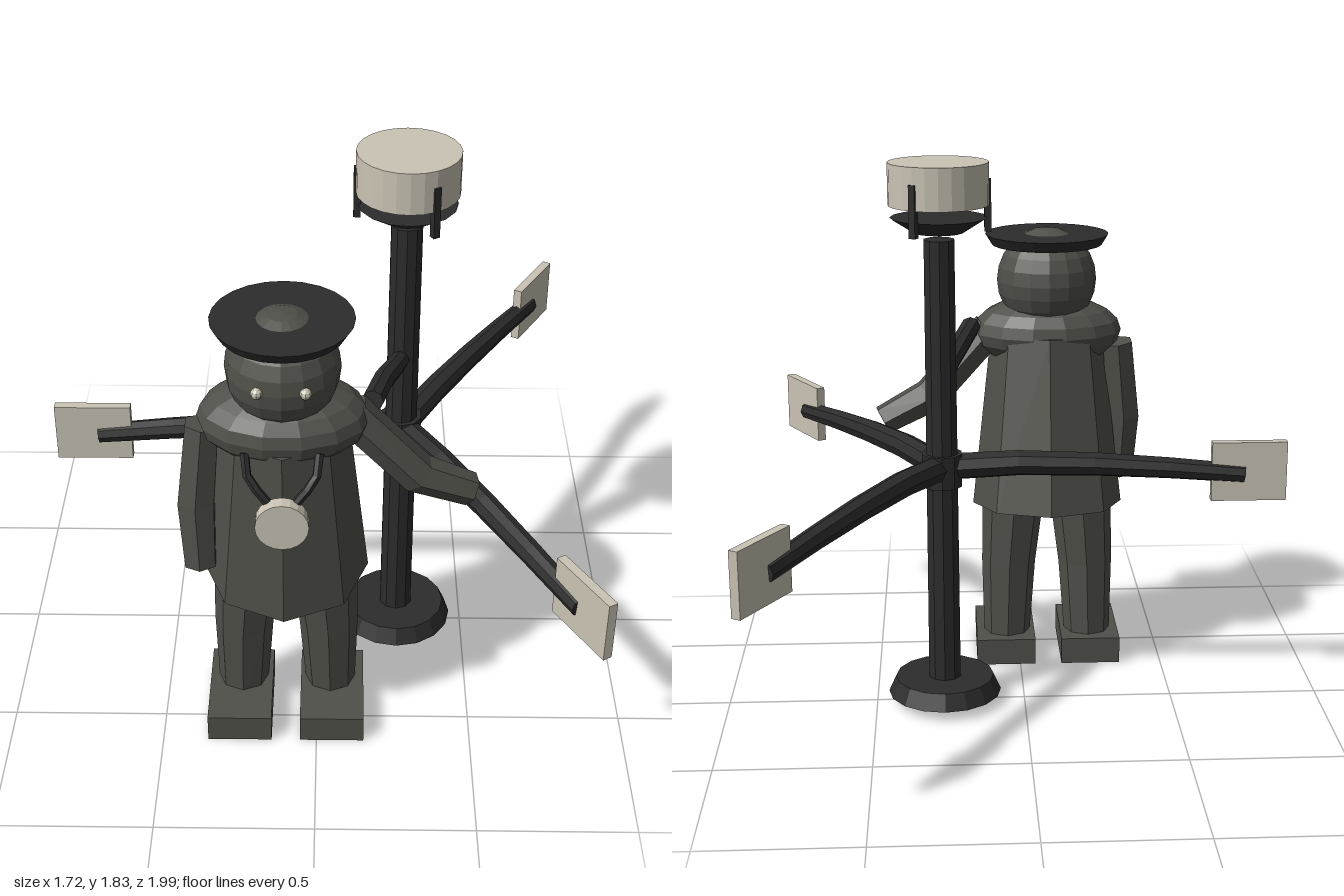
import * as THREE from 'three';

const cream = new THREE.MeshStandardMaterial({ color: 0xcbc4b5 });
cream.name = 'cream';
const grey = new THREE.MeshStandardMaterial({ color: 0x50504a });
grey.name = 'warm grey';
const black = new THREE.MeshStandardMaterial({ color: 0x2c2c2c });
black.name = 'soft black';

// Faceted mesh: unshared corners give every face its own normal
function part(name, geometry, material, parent, x = 0, y = 0, z = 0) {
  const flat = geometry.index ? geometry.toNonIndexed() : geometry;
  flat.computeVertexNormals();
  const mesh = new THREE.Mesh(flat, material);
  mesh.name = name;
  mesh.position.set(x, y, z);
  parent.add(mesh);
  return mesh;
}

const cyl = (top, bottom, height, sides) => new THREE.CylinderGeometry(top, bottom, height, sides);

// Capped, tapering limb through a few points, each with its own radius
function limb(coords, radii, sides, ref = [0, 0, 1]) {
  const pts = coords.map((c) => new THREE.Vector3(...c));
  const n = pts.length - 1;
  const geometry = new THREE.CylinderGeometry(1, 1, 1, sides, n);
  const pos = geometry.attributes.position;
  const v = new THREE.Vector3();
  for (let k = 0; k < pos.count; k++) {
    v.fromBufferAttribute(pos, k);
    const i = Math.round((v.y + 0.5) * n);
    const t = pts[Math.min(i + 1, n)].clone().sub(pts[Math.max(i - 1, 0)]).normalize();
    const w = new THREE.Vector3(...ref);
    w.addScaledVector(t, -w.dot(t)).normalize();
    const u = t.clone().cross(w);
    const p = pts[i].clone().addScaledVector(u, v.x * radii[i]).addScaledVector(w, v.z * radii[i]);
    pos.setXYZ(k, p.x, p.y, p.z);
  }
  return geometry;
}

function buildPost() {
  const post = new THREE.Group();
  post.name = 'post';
  post.position.x = 0.27;
  part('pole', cyl(0.051, 0.056, 1.53, 10), black, post, 0, 0.815, 0);
  part('poleBase', cyl(0.165, 0.19, 0.055, 16), black, post, 0, 0.0625, 0);
  part('hub', cyl(0.068, 0.068, 0.11, 10), black, post, 0, 0.82, 0);

  // Lamp and the dish under it
  part('lamp', cyl(0.16, 0.16, 0.135, 24), cream, post, 0, 1.7575, 0);
  part('lampDish', cyl(0.155, 0.08, 0.048, 16), black, post, 0, 1.627, 0);

  // Three drooping arms with end panels, and the lamp brackets above them
  for (let k = 0; k < 3; k++) {
    const spoke = new THREE.Group();
    spoke.name = 'spoke';
    spoke.rotation.y = Math.PI / 3 + k * Math.PI * 2 / 3;
    post.add(spoke);
    const path = [[0.02, 0.828, 0], [0.25, 0.838, 0], [0.5, 0.83, 0], [0.75, 0.813, 0], [1.0, 0.79, 0]];
    part('spokeArm', limb(path, [0.045, 0.043, 0.04, 0.036, 0.032], 8), black, spoke);
    part('endPanel', new THREE.BoxGeometry(0.25, 0.2, 0.03), cream, spoke, 1.015, 0.8, 0);
    part('lampBracket', new THREE.BoxGeometry(0.022, 0.165, 0.022), black, spoke, 0.155, 1.688, 0);
  }
  return post;
}

function buildFigure() {
  const figure = new THREE.Group();
  figure.name = 'figure';
  figure.position.x = -0.1;

  // Coat, leaning slightly forward
  const coat = part('coat', cyl(0.195, 0.262, 0.6, 8), grey, figure, 0, 0.87, 0.43);
  coat.rotation.x = 0.095;

  const shawl = new THREE.SphereGeometry(1, 14, 10);
  shawl.scale(0.26, 0.125, 0.185);
  part('shawl', shawl, grey, figure, 0, 1.18, 0.465);

  const head = new THREE.SphereGeometry(1, 16, 12);
  head.scale(0.172, 0.18, 0.178);
  part('head', head, grey, figure, 0, 1.36, 0.468);
  part('hatBrim', cyl(0.212, 0.19, 0.036, 24), black, figure, 0, 1.502, 0.467);

  // Legs, boots, eyes and medal cords, mirrored
  for (const s of [-1, 1]) {
    const leg = [[s * 0.145, 0.05, 0.397], [s * 0.137, 0.35, 0.41], [s * 0.115, 0.65, 0.42]];
    part('leg', limb(leg, [0.08, 0.095, 0.112], 8), grey, figure);
    part('boot', new THREE.BoxGeometry(0.207, 0.093, 0.335), grey, figure, s * 0.15, 0.0465, 0.447);
    const eye = new THREE.SphereGeometry(0.018, 8, 6);
    part('eye', eye, cream, figure, s * 0.07, 1.367, 0.632);
    const cord = [[s * 0.11, 1.15, 0.615], [s * 0.102, 1.09, 0.645], [s * 0.075, 1.05, 0.66], [s * 0.035, 1.0, 0.67]];
    part('medalCord', limb(cord, [0.014, 0.014, 0.014, 0.014], 6), black, figure);
  }

  const medal = part('medal', cyl(0.08, 0.08, 0.042, 20), cream, figure, 0, 0.948, 0.69);
  medal.rotation.x = Math.PI / 2;

  // Right arm hangs down, left arm reaches out past the post
  const rightArm = [[-0.245, 1.14, 0.45], [-0.27, 0.87, 0.475], [-0.262, 0.647, 0.5]];
  part('rightArm', limb(rightArm, [0.058, 0.064, 0.054], 6), grey, figure);
  const leftArm = [[0.2, 1.19, 0.455], [0.41, 0.955, 0.44], [0.575, 0.875, 0.41]];
  part('leftArm', limb(leftArm, [0.065, 0.064, 0.053], 6), grey, figure);
  return figure;
}

export function createModel() {
  const model = new THREE.Group();
  model.name = 'figureWithPost';
  model.add(buildPost(), buildFigure());

  // Strut tying the shoulder to the pole
  const strut = [[0.165, 1.205, 0.42], [0.2, 1.183, 0.27], [0.235, 1.15, 0.15], [0.262, 1.11, 0.03]];
  part('shoulderStrut', limb(strut, [0.034, 0.034, 0.032, 0.03], 8, [0, 1, 0]), black, model);
  return model;
}
